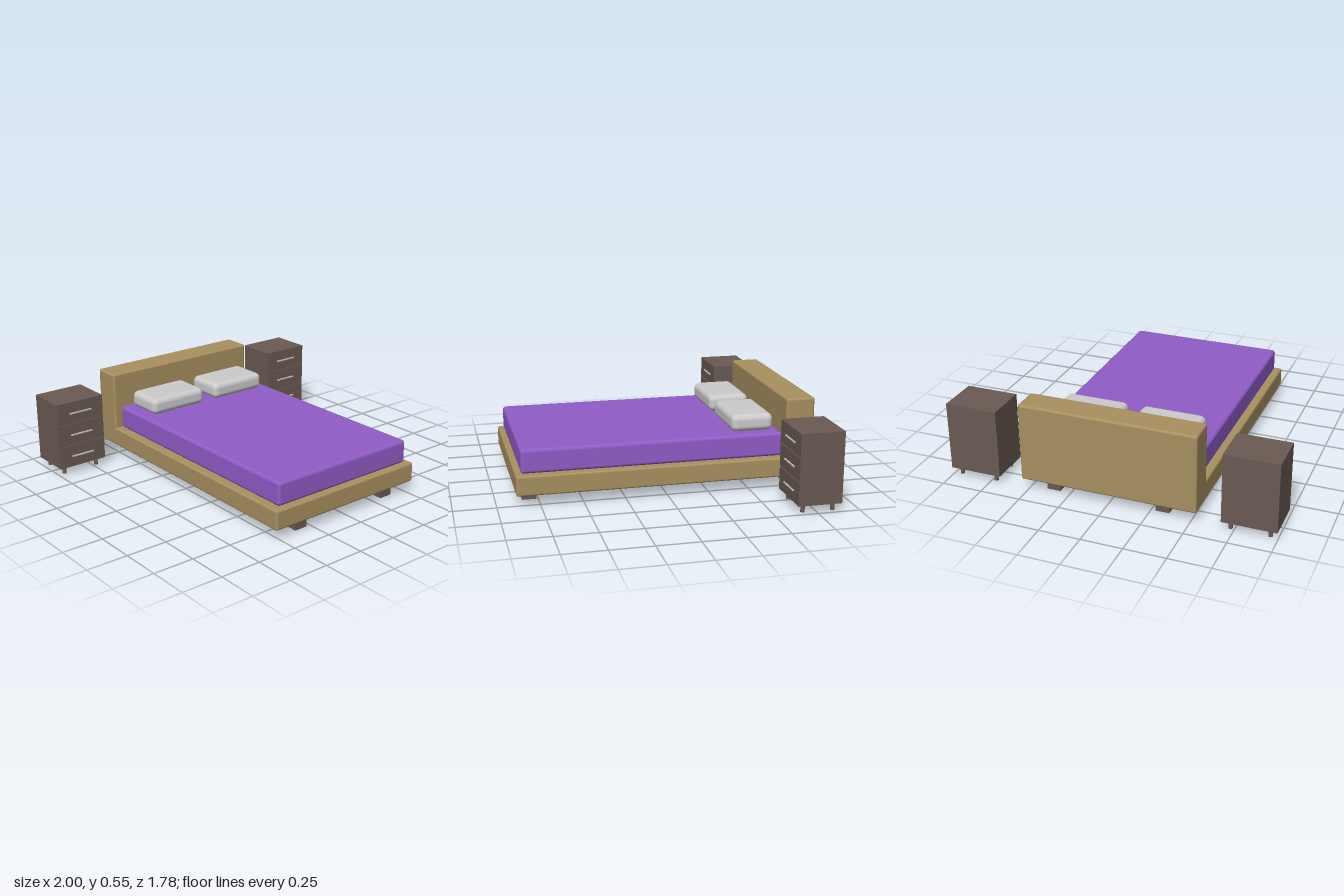
import * as THREE from 'three';
import { RoundedBoxGeometry } from 'three/addons/geometries/RoundedBoxGeometry.js';

const mat = (color) => new THREE.MeshStandardMaterial({ color });

export function createModel() {
  const model = new THREE.Group();
  const tan = mat(0xa89060), purple = mat(0x905cc8), brown = mat(0x6a5a53), grey = mat(0xcccccc);

  const add = (parent, name, geometry, material, x, y, z) => {
    const mesh = new THREE.Mesh(geometry, material);
    mesh.name = name;
    mesh.position.set(x, y, z);
    parent.add(mesh);
    return mesh;
  };
  // Box given by its extents, rounded when a radius is set
  const block = (parent, name, material, [x0, x1], [y0, y1], [z0, z1], r = 0) => {
    const size = [x1 - x0, y1 - y0, z1 - z0];
    const geometry = r ? new RoundedBoxGeometry(...size, 4, r) : new THREE.BoxGeometry(...size);
    return add(parent, name, geometry, material, (x0 + x1) / 2, (y0 + y1) / 2, (z0 + z1) / 2);
  };

  // Bed
  const bed = new THREE.Group();
  bed.name = 'bed';
  model.add(bed);
  block(bed, 'bedFrame', tan, [-0.537, 0.537], [0.067, 0.187], [-0.89, 0.89], 0.012);
  block(bed, 'headboard', tan, [-0.537, 0.537], [0.067, 0.548], [-0.89, -0.715], 0.014);
  block(bed, 'mattress', purple, [-0.495, 0.497], [0.187, 0.332], [-0.71, 0.857], 0.02);
  for (const x of [-0.238, 0.243]) {
    block(bed, 'pillow', grey, [x - 0.197, x + 0.197], [0.332, 0.436], [-0.67, -0.413], 0.036);
  }
  for (const x of [-0.318, 0.358]) {
    for (const z of [-0.792, 0.803]) {
      block(bed, 'bedLeg', brown, [x - 0.042, x + 0.042], [0, 0.075], [z - 0.042, z + 0.042]);
    }
  }

  // Nightstands on both sides of the headboard
  for (const side of [-1, 1]) {
    const stand = new THREE.Group();
    stand.name = side > 0 ? 'leftNightstand' : 'rightNightstand';
    stand.position.x = side * 0.84;
    model.add(stand);
    block(stand, 'cabinet', brown, [-0.16, 0.16], [0.05, 0.472], [-0.89, -0.637]);
    // Drawer fronts separated by narrow grooves, each with a bar handle
    for (const [y0, y1, handleY] of [[0.05, 0.188, 0.118], [0.194, 0.331, 0.259], [0.337, 0.472, 0.4]]) {
      block(stand, 'drawerFront', brown, [-0.16, 0.16], [y0, y1], [-0.637, -0.63]);
      block(stand, 'drawerHandle', grey, [-0.076, 0.076], [handleY - 0.004, handleY + 0.004], [-0.631, -0.623]);
    }
    for (const x of [-0.114, 0.114]) {
      for (const z of [-0.851, -0.672]) {
        add(stand, 'nightstandLeg', new THREE.CylinderGeometry(0.0125, 0.0125, 0.055, 16), brown, x, 0.0275, z);
      }
    }
  }
  return model;
}
